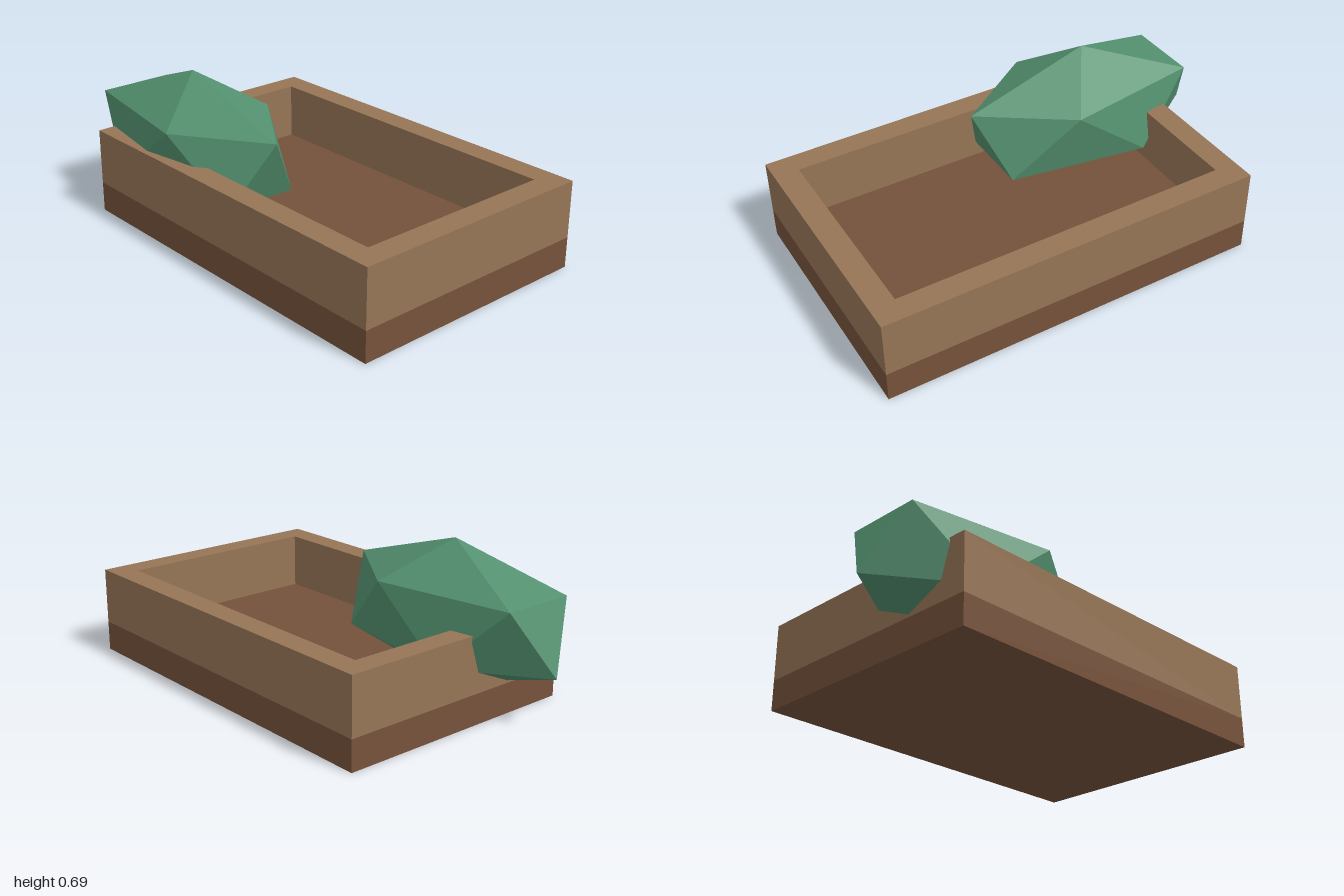
import * as THREE from 'three';

const BASE_H = 0.137, TOP = 0.392;

function rectangle(PathType, x0, x1, z) {
  return new PathType([[x0, -z], [x1, -z], [x1, z], [x0, z]].map(([x, y]) => new THREE.Vector2(x, y)));
}

export function createModel() {
  const model = new THREE.Group();
  model.name = 'planter';

  const wood = new THREE.MeshStandardMaterial({ color: 0x967556 });
  wood.name = 'tan wood';
  const soil = new THREE.MeshStandardMaterial({ color: 0x75523b });
  soil.name = 'dark brown';
  const leaf = new THREE.MeshStandardMaterial({ color: 0x53906f });
  leaf.name = 'leaf green';

  const add = (name, geometry, material) => {
    const mesh = new THREE.Mesh(geometry, material);
    mesh.name = name;
    model.add(mesh);
    return mesh;
  };

  // Solid base, whose top is the floor inside the frame
  add('base', new THREE.BoxGeometry(1.745, BASE_H, 1.15), soil).position.set(0.1275, BASE_H / 2, 0);

  // Four walls as one open frame
  const outline = rectangle(THREE.Shape, -0.745, 1, 0.575);
  outline.holes.push(rectangle(THREE.Path, -0.64, 0.89, 0.467));
  const frame = new THREE.ExtrudeGeometry(outline, { depth: TOP - BASE_H, bevelEnabled: false });
  frame.rotateX(-Math.PI / 2);
  add('frame', frame, wood).position.y = BASE_H;

  // Faceted bush: icosahedron stood on a corner, stretched along x
  const bush = new THREE.IcosahedronGeometry(1, 0);
  bush.rotateZ(Math.atan(2 / (1 + Math.sqrt(5))));
  bush.rotateY(Math.PI);
  bush.scale(0.64, 0.321, 0.323);
  add('bush', bush, leaf).position.set(-0.427, 0.371, 0.275);

  return model;
}
